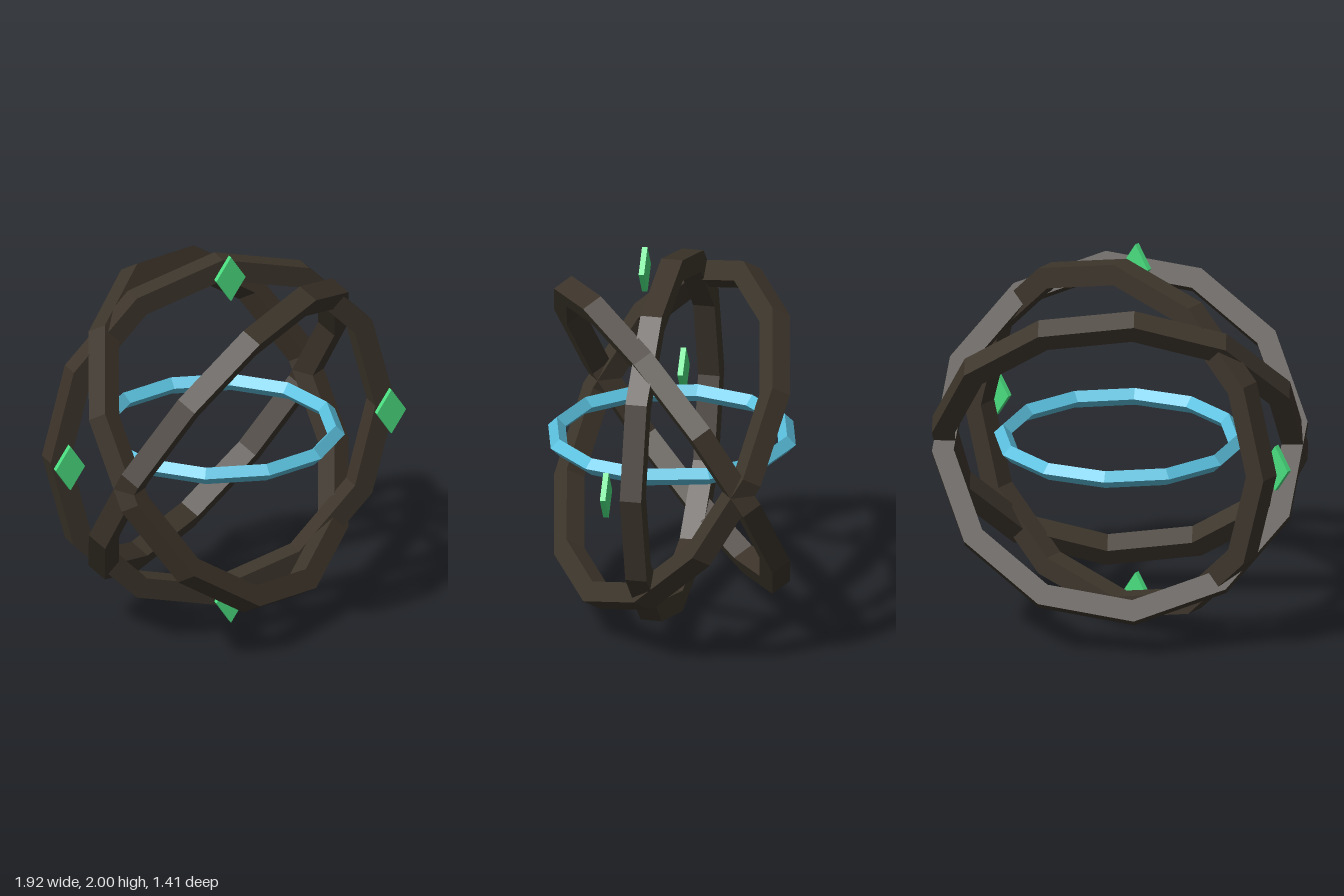
import * as THREE from 'three';

const paint = (color) => new THREE.MeshStandardMaterial({ color, flatShading: true });

// Twelve-sided ring around y with a four-cornered section; phase turns the section
function ringGeometry(radius, corner, phase) {
  const profile = [];
  for (let i = 0; i <= 4; i++) {
    const a = phase + (i * Math.PI) / 2;
    profile.push(new THREE.Vector2(radius + corner * Math.cos(a), corner * Math.sin(a)));
  }
  return new THREE.LatheGeometry(profile, 12);
}

export function createModel() {
  const model = new THREE.Group();
  model.name = 'armillarySphere';
  const centre = new THREE.Group();
  centre.name = 'rings';
  centre.position.y = 1;
  model.add(centre);

  const add = (name, geometry, material) => {
    const mesh = new THREE.Mesh(geometry, material);
    mesh.name = name;
    centre.add(mesh);
    return mesh;
  };

  // Three square-section outer rings: one upright, two tilted as a mirrored pair
  const dark = paint(0x3d352b);
  const outer = ringGeometry(0.89, 0.055 * Math.SQRT2, -Math.PI / 4);
  add('uprightRing', outer, dark).rotation.x = Math.PI / 2;
  for (const side of [1, -1]) {
    const ring = add(side > 0 ? 'tiltedRingA' : 'tiltedRingB', outer, dark);
    ring.rotation.set(Math.PI / 2, Math.PI / 4, (side * Math.PI) / 4, 'ZYX');
  }

  // Level inner ring with a diamond section
  add('innerRing', ringGeometry(0.592, 0.045, 0), paint(0x5bc0de));

  // Four thin diamond gems in front of the upright ring
  const green = paint(0x4ade80);
  const diamond = new THREE.Shape([
    new THREE.Vector2(0.08, 0),
    new THREE.Vector2(0, 0.12),
    new THREE.Vector2(-0.08, 0),
    new THREE.Vector2(0, -0.12),
  ]);
  const gem = new THREE.ExtrudeGeometry(diamond, { depth: 0.028, bevelEnabled: false });
  ['leftGem', 'topGem', 'rightGem', 'bottomGem'].forEach((name, i) => {
    const a = (i * Math.PI) / 2;
    add(name, gem, green).position.set(0.88 * Math.cos(a), 0.88 * Math.sin(a), 0.126);
  });

  return model;
}
